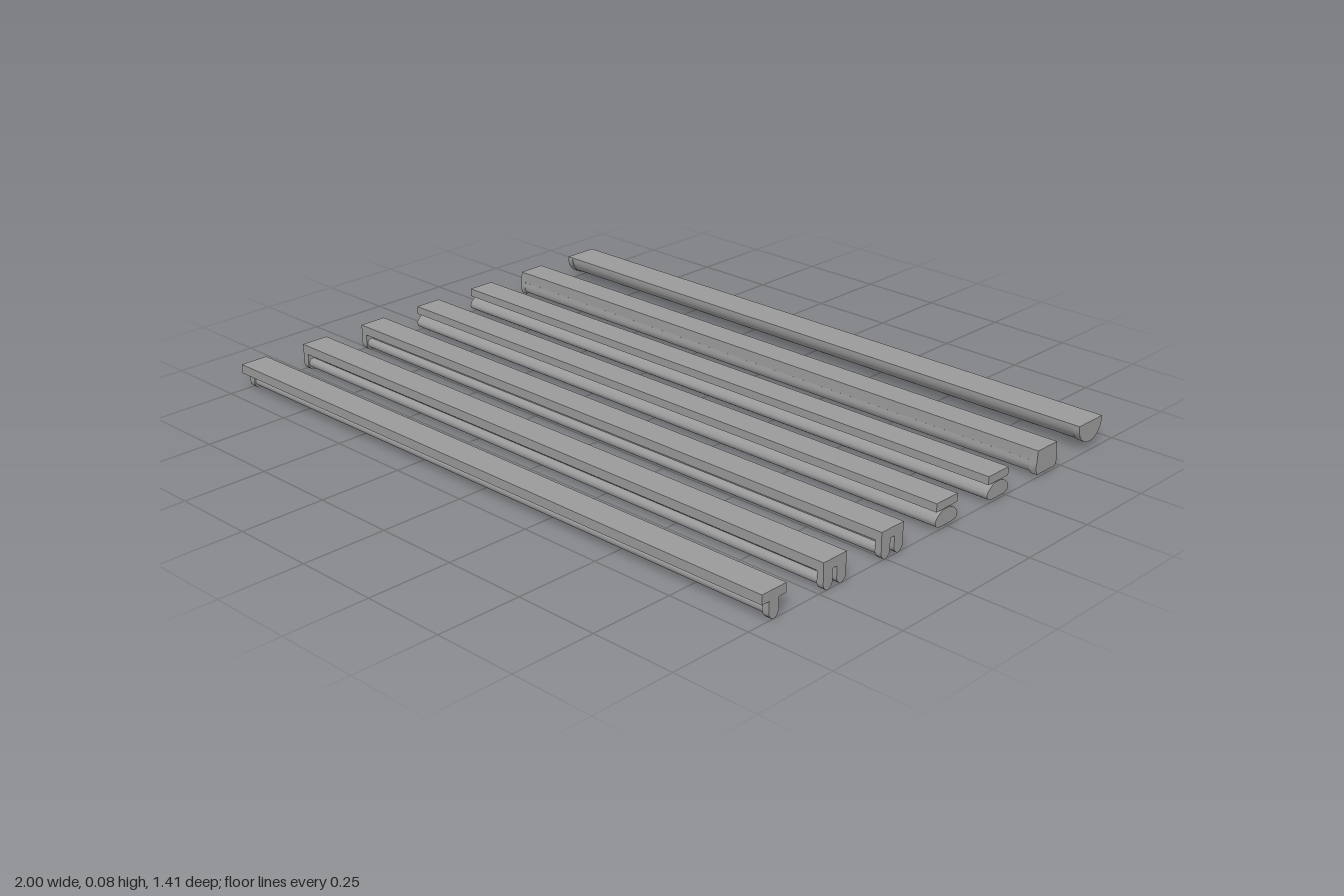
import * as THREE from 'three';
import { toCreasedNormals } from 'three/addons/utils/BufferGeometryUtils.js';

const grey = new THREE.MeshStandardMaterial({ color: 0x9a9a9a });
grey.name = 'fixtureGrey';

// Sweeps a symmetric profile, given as its +z half [z, y] from top to bottom, along x
function sweep(name, half, x0, x1) {
  const pts = [...half, ...half.slice().reverse().map(([z, y]) => [-z, y])]
    .map(([z, y]) => new THREE.Vector2(z, y));
  const geo = new THREE.ExtrudeGeometry(new THREE.Shape(pts), { depth: x1 - x0, bevelEnabled: false });
  geo.rotateY(Math.PI / 2).translate(x0, 0, 0);
  return named(name, toCreasedNormals(geo, 0.7));
}

function named(name, geo) {
  const mesh = new THREE.Mesh(geo, grey);
  mesh.name = name;
  return mesh;
}

function box(name, sx, sy, sz, x, y, z) {
  return named(name, new THREE.BoxGeometry(sx, sy, sz).translate(x, y, z));
}

// Lamp tube with a hanging, pointed socket at each end
function addLamp(group, z) {
  const tube = new THREE.CylinderGeometry(0.014, 0.014, 1.96, 16);
  tube.rotateZ(Math.PI / 2).translate(0, 0.023, z);
  group.add(named('lampTube', tube));
  const half = [[0.017, 0.054], [0.017, 0.03], [0.018, 0.022], [0.015, 0.011], [0.005, 0.002]];
  for (const s of [-1, 1]) {
    const socket = sweep('lampSocket', half, s * 0.99 - 0.01, s * 0.99 + 0.01);
    socket.position.z = z;
    group.add(socket);
  }
}

// Open batten: flat housing with bare lamps below
function battenFixture(lamps) {
  const g = new THREE.Group();
  g.add(box('housing', 2, 0.027, 0.086, 0, 0.0665, 0));
  lamps.forEach((z) => addLamp(g, z));
  return g;
}

// Batten with a narrow neck and a wide oval diffuser
function ovalFixture() {
  const g = new THREE.Group();
  g.add(box('housing', 2, 0.024, 0.086, 0, 0.068, 0));
  g.add(box('neck', 1.99, 0.012, 0.036, 0, 0.052, 0));
  g.add(sweep('ovalDiffuser', [[0.012, 0.054], [0.025, 0.049], [0.038, 0.04], [0.045, 0.031],
    [0.046, 0.025], [0.043, 0.016], [0.035, 0.011], [0.02, 0.009]], -1, 1));
  return g;
}

// Deep box housing with a wrapped diffuser that bulges at the sides
function wrapFixture() {
  const g = new THREE.Group();
  g.add(sweep('housing', [[0.043, 0.08], [0.045, 0.046]], -1, 1));
  g.add(sweep('wrapDiffuser', [[0.045, 0.048], [0.048, 0.036], [0.048, 0.026], [0.041, 0.015],
    [0.025, 0.012]], -0.985, 0.985));
  for (const s of [-1, 1]) {
    g.add(sweep('endCap', [[0.043, 0.08], [0.046, 0.045], [0.049, 0.028], [0.041, 0.01]],
      s * 0.99 - 0.01, s * 0.99 + 0.01));
  }
  return g;
}

// Half-round fixture with slightly larger end caps
function halfRoundFixture() {
  const profile = (w, h) => {
    const half = [];
    for (let i = 0; i < 10; i++) {
      const a = (i / 10) * Math.PI / 2;
      half.push([w * Math.cos(a), 0.072 - h * Math.sin(a)]);
    }
    return [[w, 0.08], ...half];
  };
  const g = new THREE.Group();
  g.add(sweep('halfRoundDiffuser', profile(0.052, 0.049), -0.985, 0.98));
  g.add(box('topPlate', 1.99, 0.006, 0.108, -0.005, 0.077, 0));
  for (const x of [-1, 0.97]) g.add(sweep('endCap', profile(0.054, 0.052), x, x + 0.02));
  return g;
}

export function createModel() {
  const model = new THREE.Group();
  model.name = 'lightFixtures';
  const row = [
    ['singleBatten', battenFixture([0])],
    ['twinBattenFront', battenFixture([-0.025, 0.025])],
    ['twinBattenRear', battenFixture([-0.025, 0.025])],
    ['ovalFixtureFront', ovalFixture()],
    ['ovalFixtureRear', ovalFixture()],
    ['wrapFixture', wrapFixture()],
    ['halfRoundFixture', halfRoundFixture()],
  ];
  // Evenly spaced from front to back
  row.forEach(([name, g], i) => {
    g.name = name;
    g.position.z = 0.662 - i * 0.219;
    model.add(g);
  });
  return model;
}
